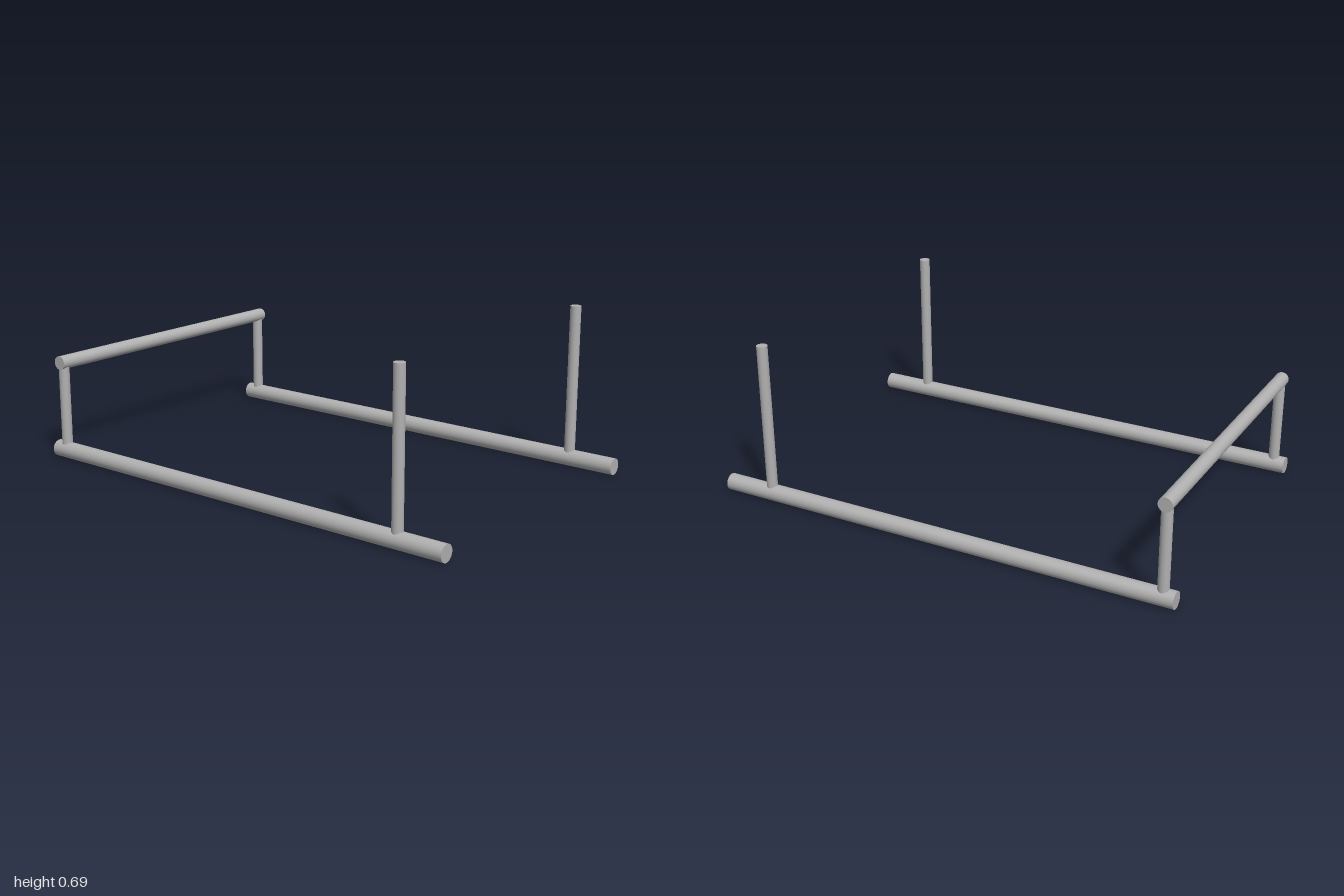
import * as THREE from 'three';

export function createModel() {
  const group = new THREE.Group();
  const steel = new THREE.MeshStandardMaterial({ color: 0xb0b0b0 });
  steel.name = 'greySteel';

  // Solid round bar between two points
  function bar(name, radius, from, to) {
    const a = new THREE.Vector3(...from);
    const b = new THREE.Vector3(...to);
    const mesh = new THREE.Mesh(new THREE.CylinderGeometry(radius, radius, a.distanceTo(b), 40), steel);
    mesh.name = name;
    mesh.position.copy(a).add(b).multiplyScalar(0.5);
    mesh.quaternion.setFromUnitVectors(new THREE.Vector3(0, 1, 0), b.sub(a).normalize());
    group.add(mesh);
  }

  const railY = 0.035, railZ = 0.618, crossX = -0.948, crossY = 0.42;

  // Ground rail with a tall and a short post on each side
  for (const [side, s] of [['front', 1], ['back', -1]]) {
    const z = s * railZ;
    bar(side + 'Rail', 0.035, [-1, railY, z], [1, railY, z]);
    bar(side + 'TallPost', 0.0225, [0.79, railY, z], [0.79, 0.685, z]);
    bar(side + 'ShortPost', 0.0225, [crossX, railY, z], [crossX, crossY, z]);
  }

  // Crossbar joining the short posts
  bar('crossbar', 0.029, [crossX, crossY, -0.642], [crossX, crossY, 0.642]);

  return group;
}
